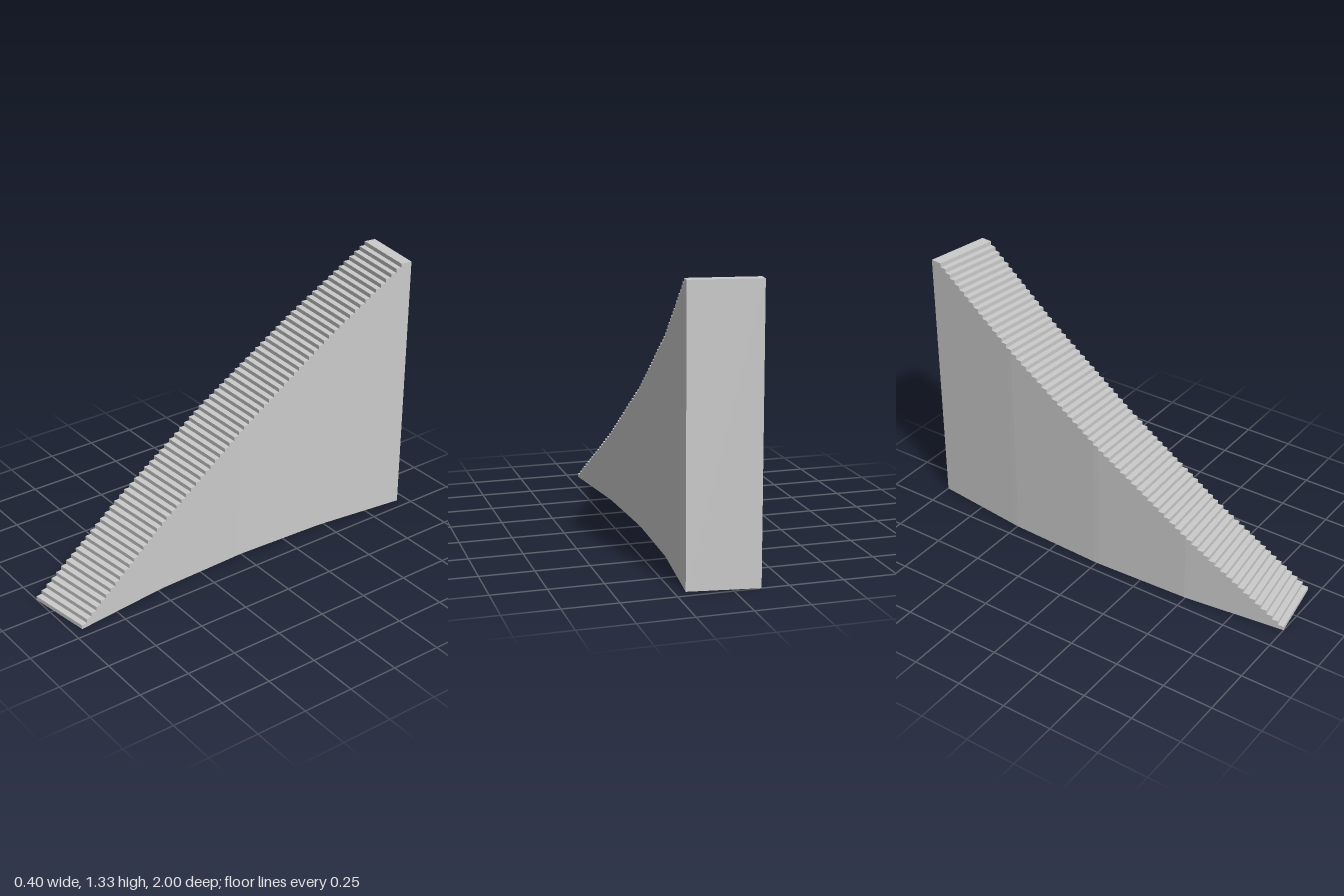
import * as THREE from 'three';

const SLICES = 67;          // equal treads along the curve; the last two form the landing
const RISERS = 66;
const HEIGHT = 1.326;
const SEGMENTS = 4;         // straight pieces of the curved plan
const OUTER = 6.54, WIDTH = 0.326;
const HALF_ANGLE = Math.asin(1 / OUTER);

// Point on the faceted plan arc, t = 0 at the front and 1 at the back
function planPoint(radius, t) {
  const corner = (k) => {
    const a = HALF_ANGLE * (1 - 2 * k / SEGMENTS);
    return new THREE.Vector2(OUTER - 0.2 - radius * Math.cos(a), radius * Math.sin(a));
  };
  const k = Math.min(Math.floor(t * SEGMENTS), SEGMENTS - 1);
  return corner(k).lerp(corner(k + 1), t * SEGMENTS - k);
}

function stairGeometry() {
  const pos = [];
  const at = (p, y) => [p.x, y, p.y];
  const quad = (a, b, c, d) => pos.push(...a, ...b, ...c, ...a, ...c, ...d);
  let below = 0;
  for (let i = 0; i < SLICES; i++) {
    const t0 = i / SLICES, t1 = (i + 1) / SLICES;
    const o0 = planPoint(OUTER, t0), o1 = planPoint(OUTER, t1);
    const n0 = planPoint(OUTER - WIDTH, t0), n1 = planPoint(OUTER - WIDTH, t1);
    const y = HEIGHT * Math.min(i + 1, RISERS) / RISERS;
    // riser
    if (y > below) quad(at(o0, below), at(n0, below), at(n0, y), at(o0, y));
    // tread
    quad(at(o0, y), at(n0, y), at(n1, y), at(o1, y));
    // inner and outer side walls
    quad(at(n0, 0), at(n1, 0), at(n1, y), at(n0, y));
    quad(at(o1, 0), at(o0, 0), at(o0, y), at(o1, y));
    // underside
    quad(at(o1, 0), at(n1, 0), at(n0, 0), at(o0, 0));
    // back wall
    if (i === SLICES - 1) quad(at(n1, 0), at(o1, 0), at(o1, y), at(n1, y));
    below = y;
  }
  const geometry = new THREE.BufferGeometry();
  geometry.setAttribute('position', new THREE.Float32BufferAttribute(pos, 3));
  geometry.computeVertexNormals();
  return geometry;
}

export function createModel() {
  const group = new THREE.Group();
  group.name = 'curvedStaircase';
  const material = new THREE.MeshStandardMaterial({ color: 0xcccccc, flatShading: true });
  const stairs = new THREE.Mesh(stairGeometry(), material);
  stairs.name = 'solidStairs';
  group.add(stairs);
  return group;
}
